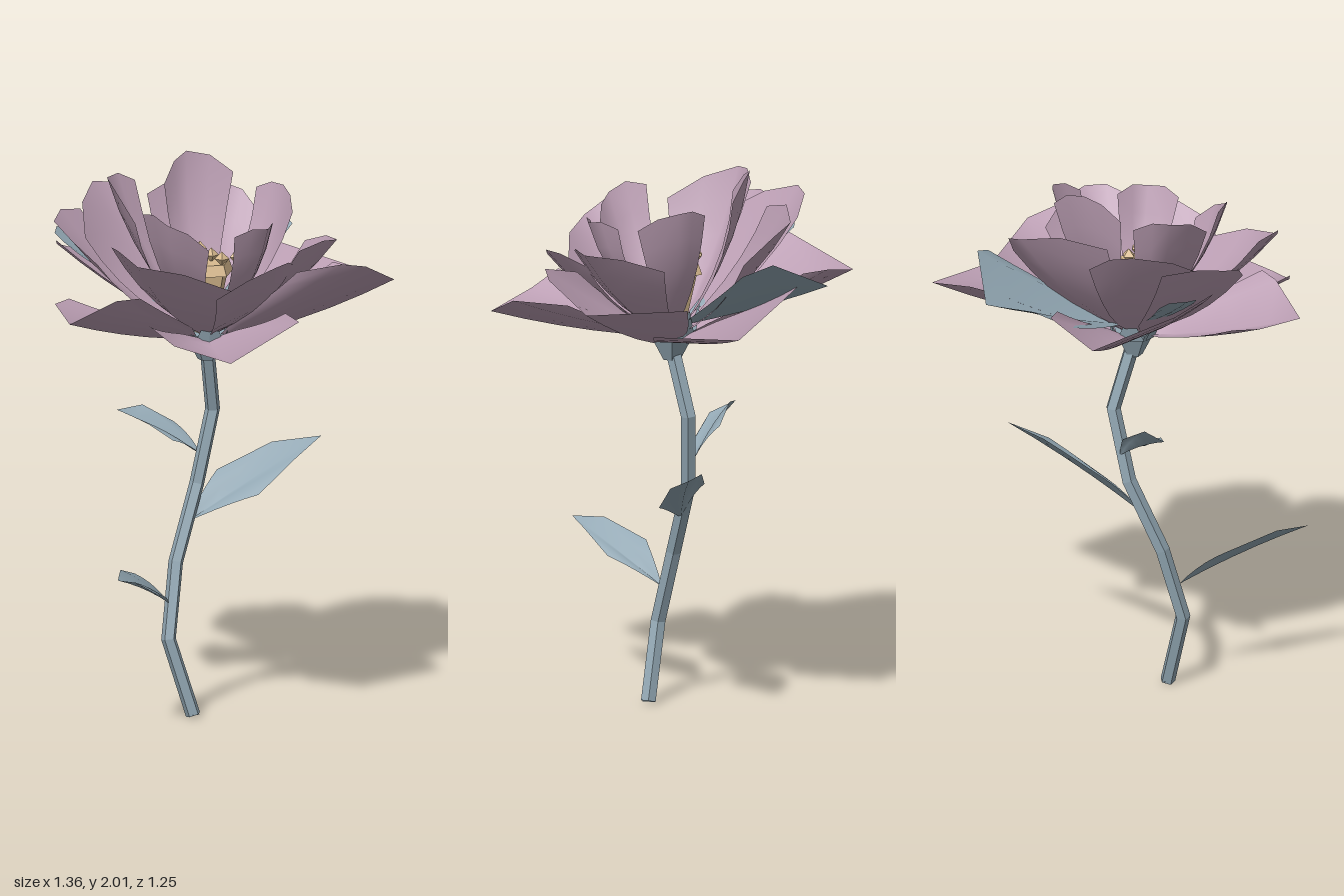
import * as THREE from 'three';

const V = (p) => new THREE.Vector3(...p);
const paint = (name, color) => {
  const m = new THREE.MeshStandardMaterial({ color, side: THREE.DoubleSide });
  m.name = name;
  return m;
};

// Five-point rim through left, tip and right, with shoulders pushed away from the base
function roundedRim(base, left, tip, right, bulge) {
  const [B, L, T, R] = [base, left, tip, right].map(V);
  const shoulder = (side) => {
    const p = side.clone().lerp(T, 0.5);
    return p.add(p.clone().sub(B).multiplyScalar(bulge));
  };
  return [L, shoulder(L), T, shoulder(R), R];
}

// Blade fanning from a base to a five-point rim.
// sag bends the blade downwards, flare widens it near the base.
function blade(base, rim, sag, flare) {
  const B = V(base);
  const axis = rim[2].clone().sub(B).normalize();
  const down = rim[4].clone().sub(rim[0]).cross(axis).normalize();
  if (down.y > 0) down.negate();
  const rows = 5, pos = [], index = [];
  for (let i = 0; i <= rows; i++) {
    const s = i / rows;
    rim.forEach((p) => {
      const d = p.clone().sub(B);
      const lateral = d.clone().addScaledVector(axis, -d.dot(axis));
      const q = B.clone().addScaledVector(d, s)
        .addScaledVector(lateral, s ** flare - s)
        .addScaledVector(down, sag * 4 * s * (1 - s));
      pos.push(q.x, q.y, q.z);
    });
  }
  for (let i = 0; i < rows; i++) {
    for (let j = 0; j < 4; j++) {
      const a = i * 5 + j, b = a + 5;
      if (i > 0) index.push(a, a + 1, b + 1);
      index.push(a, b + 1, b);
    }
  }
  const g = new THREE.BufferGeometry();
  g.setAttribute('position', new THREE.Float32BufferAttribute(pos, 3));
  g.setIndex(index);
  g.computeVertexNormals();
  return g;
}

const flat = (g) => {
  const f = g.index ? g.toNonIndexed() : g;
  f.computeVertexNormals();
  return f;
};

// Wide outer petals: five rim points each
const outerPetals = [
  [[-0.59, 1.53, 0.30], [-0.57, 1.47, 0.41], [-0.47, 1.42, 0.60], [-0.15, 1.53, 0.625], [-0.05, 1.52, 0.45]],
  [[0.02, 1.66, 0.44], [0.10, 1.70, 0.59], [0.20, 1.68, 0.61], [0.41, 1.59, 0.54], [0.46, 1.59, 0.17]],
  [[0.43, 1.50, 0.29], [0.49, 1.51, 0.31], [0.68, 1.52, 0.05], [0.50, 1.61, -0.18], [0.38, 1.63, -0.28]],
  [[0.15, 1.62, -0.38], [0.16, 1.63, -0.47], [-0.02, 1.58, -0.63], [-0.30, 1.67, -0.48], [-0.42, 1.72, -0.36]],
  [[-0.47, 1.53, -0.24], [-0.57, 1.53, -0.21], [-0.68, 1.50, -0.02], [-0.57, 1.59, 0.11], [-0.51, 1.60, 0.17]],
];
const calyxLeaves = [
  [[0.46, 1.70, -0.04], [0.48, 1.74, -0.15], [0.41, 1.63, -0.385], [0.25, 1.60, -0.35], [0.10, 1.56, -0.38]],
  [[-0.24, 1.70, -0.48], [-0.28, 1.73, -0.50], [-0.34, 1.72, -0.45], [-0.36, 1.70, -0.38], [-0.34, 1.66, -0.32]],
];
// Other petals: left, tip, right, rim bulge
const middlePetals = [
  [[-0.02, 1.84, -0.30], [0.30, 1.85, -0.28], [0.36, 1.72, -0.08], 0.08],
  [[0.03, 1.80, -0.40], [-0.14, 1.88, -0.46], [-0.38, 1.74, -0.25], 0.06],
  [[-0.24, 1.80, -0.42], [-0.46, 1.80, -0.33], [-0.48, 1.68, -0.08], 0.05],
  [[-0.52, 1.77, 0.03], [-0.56, 1.73, 0.21], [-0.25, 1.62, 0.38], 0.08],
  [[-0.33, 1.60, 0.38], [-0.15, 1.71, 0.50], [0.03, 1.68, 0.41], 0.06],
  [[0.02, 1.74, 0.45], [0.19, 1.76, 0.47], [0.29, 1.70, 0.20], 0.05],
];
const innerPetals = [
  [[-0.05, 1.90, -0.18], [0.08, 2.00, -0.20], [0.21, 1.92, -0.09], 0.04],
  [[-0.11, 1.91, -0.27], [-0.25, 1.94, -0.27], [-0.34, 1.82, -0.03], 0.04],
  [[-0.37, 1.87, 0.04], [-0.38, 1.85, 0.18], [-0.25, 1.75, 0.26], 0.05],
  [[-0.18, 1.80, 0.32], [-0.06, 1.82, 0.37], [0.04, 1.81, 0.29], 0.04],
  [[0.17, 1.83, 0.26], [0.25, 1.90, 0.13], [0.22, 1.88, 0.02], 0.03],
];
// Stem leaves: base, then five rim points
const stemLeaves = [
  [[-0.23, 0.41, 0.03], [-0.42, 0.49, 0.17], [-0.57, 0.565, 0.21], [-0.67, 0.59, 0.22], [-0.57, 0.60, 0.13], [-0.40, 0.545, 0.03]],
  [[-0.10, 0.69, 0.00], [0.10, 0.78, 0.155], [0.27, 0.89, 0.17], [0.42, 0.95, 0.15], [0.27, 0.935, 0.05], [0.07, 0.85, -0.03]],
  [[-0.02, 0.92, -0.02], [-0.12, 0.98, -0.06], [-0.19, 1.05, -0.14], [-0.22, 1.08, -0.25], [-0.14, 1.095, -0.20], [-0.05, 1.03, -0.13]],
];

export function createModel() {
  const pink = paint('dusty pink', 0xbc9fb4);
  const green = paint('blue grey green', 0x92a7b3);
  const tan = paint('pollen tan', 0xd9bb8f);
  const model = new THREE.Group();
  model.name = 'flower';
  const add = (name, geometry, material, parent = model) => {
    const mesh = new THREE.Mesh(geometry, material);
    mesh.name = name;
    parent.add(mesh);
    return mesh;
  };
  const group = (name) => {
    const g = new THREE.Group();
    g.name = name;
    model.add(g);
    return g;
  };

  // Crooked five-sided stem with one bend per joint
  const joints = [[-0.175, 0, 0.1], [-0.24, 0.28, 0.04], [-0.17, 0.55, 0.005],
    [-0.05, 0.82, -0.01], [0.01, 1.09, 0.01], [-0.05, 1.31, 0.045]].map(V);
  const path = new THREE.CatmullRomCurve3(joints);
  path.getPointAt = path.getPoint;
  path.getTangentAt = path.getTangent;
  add('stem', flat(new THREE.TubeGeometry(path, joints.length - 1, 0.028, 5)), green);
  const foot = add('stemFoot', new THREE.CircleGeometry(0.026, 5), green);
  foot.rotation.x = Math.PI / 2;
  foot.position.set(-0.175, 0.003, 0.1);

  const leaves = group('stemLeaves');
  stemLeaves.forEach(([b, ...rim]) =>
    add('stemLeaf', blade(b, rim.map(V), -0.01, 0.9), green, leaves));

  // Calyx cup with pointed sepals
  const calyx = group('calyx');
  calyx.position.set(-0.06, 0, 0.05);
  add('calyxCup', flat(new THREE.CylinderGeometry(0.085, 0.032, 0.1, 5)), green, calyx)
    .position.y = 1.34;
  for (let i = 0; i < 5; i++) {
    const turn = new THREE.Group();
    turn.rotation.y = (i + 0.5) * Math.PI * 0.4;
    const sepal = add('sepal', flat(new THREE.ConeGeometry(0.05, 0.12, 4)), green, turn);
    sepal.scale.z = 0.15;
    sepal.position.set(0, 1.43, 0.09);
    sepal.rotation.x = 0.3;
    calyx.add(turn);
  }

  // Petal rings around the heart, inner ones starting higher
  const ring = (name, rows, y, material, sag, flare, toRim) => {
    const g = group(name + 's');
    rows.forEach((row) => {
      const tip = row.length === 5 ? row[2] : row[1];
      const a = Math.atan2(tip[2] - 0.05, tip[0] + 0.06);
      const base = [-0.06 + 0.04 * Math.cos(a), y, 0.05 + 0.04 * Math.sin(a)];
      add(name, blade(base, toRim(base, row), sag, flare), material, g);
    });
  };
  const fullRim = (base, row) => row.map(V);
  const smoothRim = (base, row) => roundedRim(base, ...row);
  ring('outerPetal', outerPetals, 1.37, pink, 0.015, 0.6, fullRim);
  ring('calyxLeaf', calyxLeaves, 1.42, green, 0.01, 0.9, fullRim);
  ring('middlePetal', middlePetals, 1.39, pink, 0.035, 0.65, smoothRim);
  ring('innerPetal', innerPetals, 1.41, pink, 0.04, 0.65, smoothRim);

  // Pollen heart with small bud-like stamens
  const heart = group('heart');
  heart.position.set(-0.06, 0, 0.045);
  add('heartCone', flat(new THREE.CylinderGeometry(0.09, 0.04, 0.22, 5)), tan, heart)
    .position.y = 1.5;
  add('heartCap', flat(new THREE.CylinderGeometry(0.095, 0.11, 0.04, 5)), tan, heart)
    .position.y = 1.63;
  [[-0.05, -0.03], [0.02, 0.01], [0.045, -0.075], [0.09, 0.065], [0, 0.085], [-0.11, 0.025]]
    .forEach(([x, z], i) => {
      const stamen = add('stamen', new THREE.OctahedronGeometry(0.027), tan, heart);
      stamen.position.set(x, 1.665 + 0.008 * (i % 3), z);
      stamen.rotation.y = i;
    });

  return model;
}
